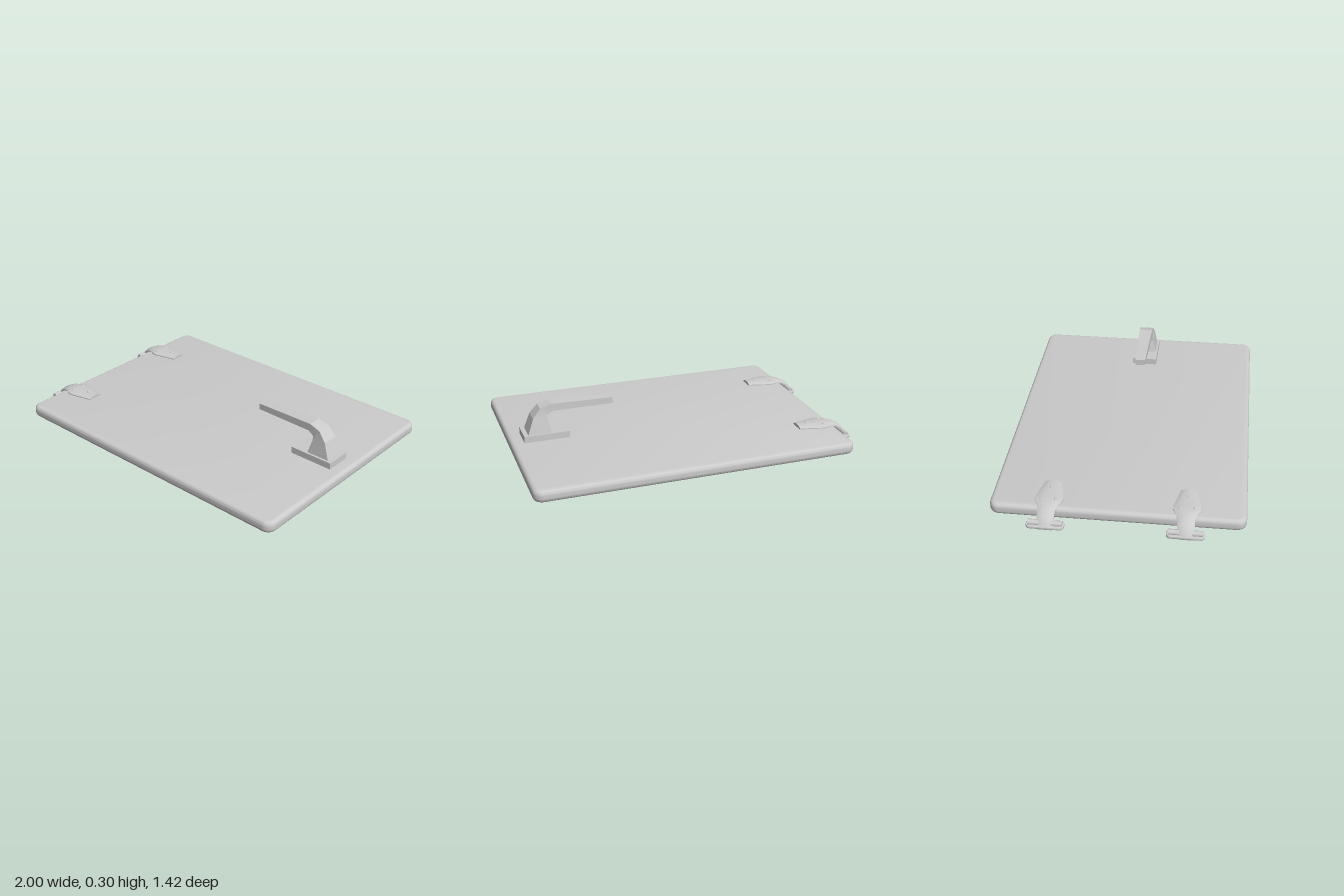
import * as THREE from 'three';
import { toCreasedNormals } from 'three/addons/utils/BufferGeometryUtils.js';

const grey = new THREE.MeshStandardMaterial({ color: 0xcccccc });

function add(parent, name, geometry, x = 0, y = 0, z = 0) {
  const mesh = new THREE.Mesh(geometry, grey);
  mesh.name = name;
  mesh.position.set(x, y, z);
  parent.add(mesh);
  return mesh;
}

// Skin a row of rings (each turning right-handed about the sweep direction) and cap both ends
function loft(rings, crease) {
  const n = rings[0].length, index = [];
  rings.slice(1).forEach((_, i) => {
    for (let j = 0; j < n; j++) {
      const k = (j + 1) % n;
      const a = i * n + j, b = i * n + k, c = b + n, d = a + n;
      index.push(a, b, c, a, c, d);
    }
  });
  const last = (rings.length - 1) * n;
  for (let j = 1; j < n - 1; j++) {
    index.push(0, j + 1, j, last, last + j, last + j + 1);
  }
  const g = new THREE.BufferGeometry();
  g.setAttribute('position', new THREE.Float32BufferAttribute(rings.flat(2), 3));
  g.setIndex(index);
  return toCreasedNormals(g, crease);
}

// Flat slab with rounded corners and rounded edges; w, d, h are outer sizes, base at y = 0
function slab(w, d, h, corner, bevel, segments) {
  const x = w / 2 - bevel, y = d / 2 - bevel, r = corner - bevel;
  const s = new THREE.Shape();
  s.moveTo(-x + r, -y);
  s.lineTo(x - r, -y);
  s.absarc(x - r, -y + r, r, -Math.PI / 2, 0);
  s.lineTo(x, y - r);
  s.absarc(x - r, y - r, r, 0, Math.PI / 2);
  s.lineTo(-x + r, y);
  s.absarc(-x + r, y - r, r, Math.PI / 2, Math.PI);
  s.lineTo(-x, -y + r);
  s.absarc(-x + r, -y + r, r, Math.PI, Math.PI * 1.5);
  const g = new THREE.ExtrudeGeometry(s, {
    depth: h - 2 * bevel, bevelEnabled: true, bevelSize: bevel,
    bevelThickness: bevel, bevelSegments: segments, curveSegments: 8,
  });
  g.translate(0, 0, bevel).rotateX(-Math.PI / 2);
  return toCreasedNormals(g, 0.6);
}

function makeHandle() {
  const handle = new THREE.Group();
  handle.name = 'handle';
  add(handle, 'handleBase', new THREE.BoxGeometry(0.27, 0.04, 0.156), 0.785, 0.105, 0);
  // inner x, inner y, outer x, outer y, half width
  const stations = [
    [0.75, 0.12, 0.895, 0.12, 0.065],
    [0.772, 0.2, 0.858, 0.22, 0.052],
    [0.772, 0.23, 0.812, 0.275, 0.044],
    [0.735, 0.251, 0.745, 0.296, 0.041],
    [0.37, 0.247, 0.37, 0.284, 0.03],
  ];
  add(handle, 'handleLever', loft(stations.map(([ix, iy, ox, oy, w]) =>
    [[ix, iy, w], [ox, oy, w], [ox, oy, -w], [ix, iy, -w]]), 0.25));
  return handle;
}

function makeHinge() {
  const hinge = new THREE.Group();
  hinge.name = 'hinge';
  // Domed strap curling over the panel edge: x, underside y, half width, tilt
  const stations = [
    [-0.68, 0.084, 0.045, 0], [-0.825, 0.084, 0.08, 0], [-0.845, 0.084, 0.077, 0.05],
    [-0.88, 0.081, 0.06, 0.2], [-0.915, 0.073, 0.048, 0.4], [-0.945, 0.057, 0.047, 0.7],
    [-0.967, 0.036, 0.047, 1.0], [-0.977, 0.018, 0.047, 1.3],
  ];
  const section = [[1, 0], [1, 0.008], [0.7, 0.015], [0.3, 0.019],
    [-0.3, 0.019], [-0.7, 0.015], [-1, 0.008], [-1, 0]];
  add(hinge, 'hingeStrap', loft(stations.map(([x, y, w, tilt]) =>
    section.map(([u, t]) => [x - t * Math.sin(tilt), y + t * Math.cos(tilt), u * w])), 0.6));

  // Mounting plate, lower pad and pin barrel
  add(hinge, 'hingePlate', slab(0.064, 0.21, 0.016, 0.025, 0.004, 2), -0.967, 0.012, 0);
  add(hinge, 'hingePad', slab(0.045, 0.1, 0.016, 0.015, 0.005, 2), -0.967, 0, 0);
  const barrel = new THREE.CylinderGeometry(0.017, 0.017, 0.19, 16).rotateX(Math.PI / 2);
  add(hinge, 'hingeBarrel', barrel, -0.967, 0.033, 0);

  // Screw heads on the strap
  const head = new THREE.SphereGeometry(0.01, 12, 5, 0, Math.PI * 2, 0, Math.PI / 2);
  head.scale(1, 0.8, 1);
  for (const [x, z] of [[-0.742, 0], [-0.84, 0.04], [-0.84, -0.04]]) {
    add(hinge, 'screwHead', head, x, z ? 0.099 : 0.102, z);
  }
  return hinge;
}

export function createModel() {
  const model = new THREE.Group();
  model.name = 'hatchDoor';
  add(model, 'panel', slab(1.905, 1.416, 0.071, 0.055, 0.025, 6), 0.0445, 0.015, 0);
  model.add(makeHandle());
  for (const side of [-1, 1]) {
    const hinge = makeHinge();
    hinge.position.z = side * 0.382;
    model.add(hinge);
  }
  return model;
}
